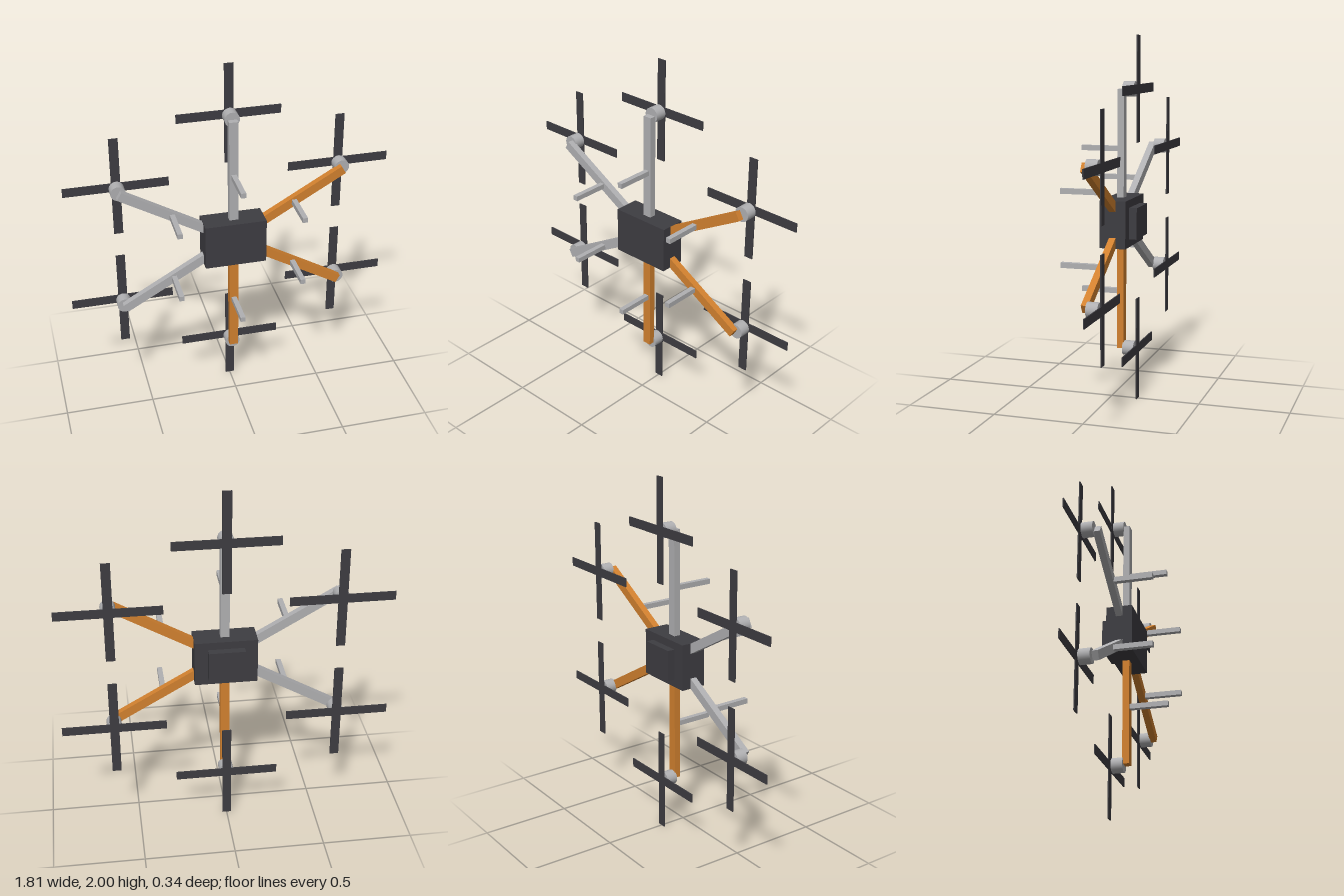
import * as THREE from 'three';

const mat = (name, color) => Object.assign(new THREE.MeshStandardMaterial({ color }), { name });

export function createModel() {
  const dark = mat('charcoal', 0x3e3d42);
  const grey = mat('lightGrey', 0xb0b0b2);
  const orange = mat('orange', 0xd2812f);

  const model = new THREE.Group();
  model.name = 'hexacopter';

  // Box spanning z0..z1, centred on x, y
  const box = (parent, name, material, x, y, w, h, z0, z1) => {
    const mesh = new THREE.Mesh(new THREE.BoxGeometry(w, h, z1 - z0), material);
    mesh.position.set(x, y, (z0 + z1) / 2);
    mesh.name = name;
    parent.add(mesh);
    return mesh;
  };

  // Central body with battery pack on the back
  box(model, 'body', dark, 0, 1, 0.343, 0.257, -0.129, 0.014);
  box(model, 'battery', dark, 0, 1, 0.2, 0.171, -0.171, -0.125);

  // Six arms, each with a motor, a crossed propeller and a landing leg
  const reach = 0.714;
  for (let i = 0; i < 6; i++) {
    const angle = Math.PI / 6 + (i * Math.PI) / 3;
    const c = Math.cos(angle), s = Math.sin(angle);
    const unit = new THREE.Group();
    unit.name = 'rotorArm' + (i + 1);
    model.add(unit);

    const inner = 0.08, mid = (inner + reach) / 2;
    const arm = box(unit, 'arm', [0, 4, 5].includes(i) ? orange : grey,
      c * mid, 1 + s * mid, reach - inner, 0.05, -0.075, -0.038);
    arm.rotation.z = angle;

    const x = c * reach, y = 1 + s * reach;
    const motor = new THREE.Mesh(new THREE.CylinderGeometry(0.041, 0.041, 0.063, 24), grey);
    motor.rotation.x = Math.PI / 2;
    motor.position.set(x, y, -0.102);
    motor.name = 'motor';
    unit.add(motor);

    box(unit, 'bladeAcross', dark, x, y, 0.571, 0.05, -0.151, -0.145);
    box(unit, 'bladeUpright', dark, x, y, 0.05, 0.571, -0.1512, -0.1448);

    box(unit, 'leg', grey, c * 0.393, 1 + s * 0.393, 0.028, 0.028, -0.045, 0.171);
  }
  return model;
}
